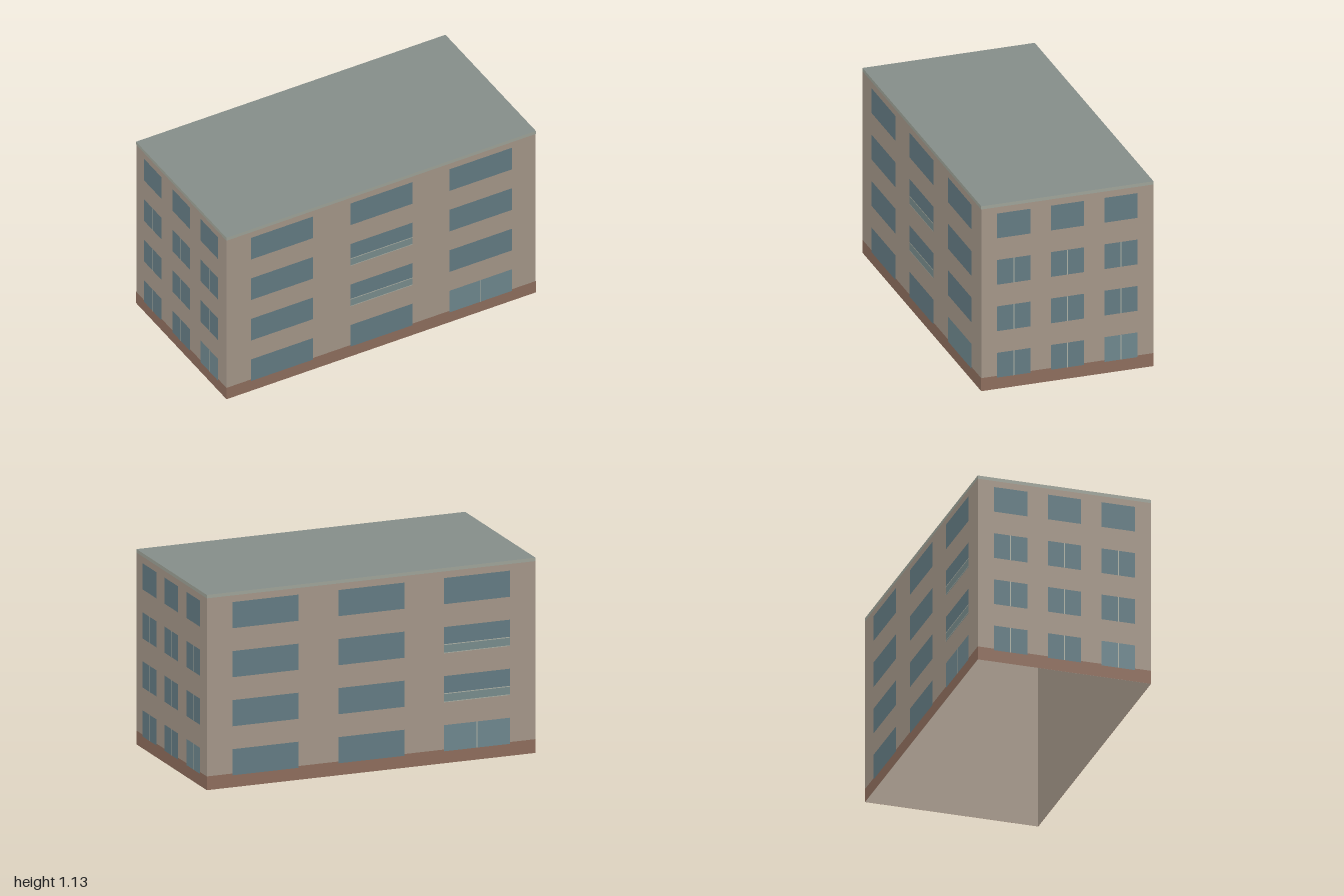
import * as THREE from 'three';

const W = 1.99, D = 1.02, H = 1.135;
const BASE_H = 0.08, CORNICE_H = 0.02;
const SILLS = [0.07, 0.355, 0.64, 0.925], WIN_H = 0.152;

const paint = (color) => new THREE.MeshStandardMaterial({ color, side: THREE.DoubleSide });
const mats = {
  wall: paint(0xa89a8c),
  base: paint(0x91705f),
  roof: paint(0x868f8b),
  cornice: paint(0xa2a79c),
  glass: paint(0x667e86),
  door: paint(0x718a91),
  railing: paint(0x7b8f8f),
  trim: paint(0xb0b4a8),
};

// Flat upright panel, centred on x, standing on y, lying at depth z
function panel(parent, name, mat, x, y, z, w, h) {
  const mesh = new THREE.Mesh(new THREE.PlaneGeometry(w, h), mat);
  mesh.position.set(x, y + h / 2, z);
  mesh.name = name;
  parent.add(mesh);
}

// One side of the building, facing local +z
function facade(name, { width, depth, columns, winW, mullions = false, balconyColumn = -1 }) {
  const g = new THREE.Group();
  g.name = name;
  panel(g, 'wall', mats.wall, 0, 0, 0, width, H);
  panel(g, 'baseBand', mats.base, 0, 0, 0.001, width + 0.002, BASE_H);
  panel(g, 'cornice', mats.cornice, 0, H - CORNICE_H, 0.001, width + 0.002, CORNICE_H);

  SILLS.forEach((y, row) => columns.forEach((x, col) => {
    // The entrance is the right-hand opening on the ground floor
    const isDoor = row === 0 && col === columns.length - 1;
    panel(g, isDoor ? 'door' : 'window', isDoor ? mats.door : mats.glass, x, y, 0.0025, winW, WIN_H);
    if (isDoor || (mullions && row < 3)) {
      panel(g, 'mullion', mats.trim, x, y, 0.0035, 0.005, WIN_H);
    }
    // Glazed railing with a top and bottom rail
    if (col === balconyColumn && (row === 1 || row === 2)) {
      panel(g, 'railing', mats.railing, x, y, 0.004, winW, 0.052);
      panel(g, 'topRail', mats.trim, x, y + 0.048, 0.005, winW, 0.005);
      panel(g, 'bottomRail', mats.trim, x, y, 0.005, winW, 0.004);
    }
  }));

  g.children.forEach((m) => { m.position.z += depth / 2; });
  return g;
}

export function createModel() {
  const building = new THREE.Group();
  building.name = 'apartmentBlock';

  // Long front and back
  const long = { width: W, depth: D, columns: [-0.64, 0, 0.64], winW: 0.4 };
  const front = facade('frontFacade', { ...long, balconyColumn: 1 });
  const back = facade('backFacade', { ...long, balconyColumn: 2 });
  back.rotation.y = Math.PI;
  building.add(front, back);

  // Short ends
  for (const s of [-1, 1]) {
    const end = facade(s > 0 ? 'leftEnd' : 'rightEnd', {
      width: D, depth: W, columns: [-0.318, 0, 0.318], winW: 0.197, mullions: true,
    });
    end.rotation.y = s * Math.PI / 2;
    building.add(end);
  }

  // Flat roof; the underside is open
  const roof = new THREE.Mesh(new THREE.PlaneGeometry(W + 0.002, D + 0.002), mats.roof);
  roof.name = 'roof';
  roof.rotation.x = -Math.PI / 2;
  roof.position.y = H;
  building.add(roof);

  // The block stands very slightly turned
  building.rotation.y = -0.01;
  const model = new THREE.Group();
  model.name = 'building';
  model.add(building);
  return model;
}
